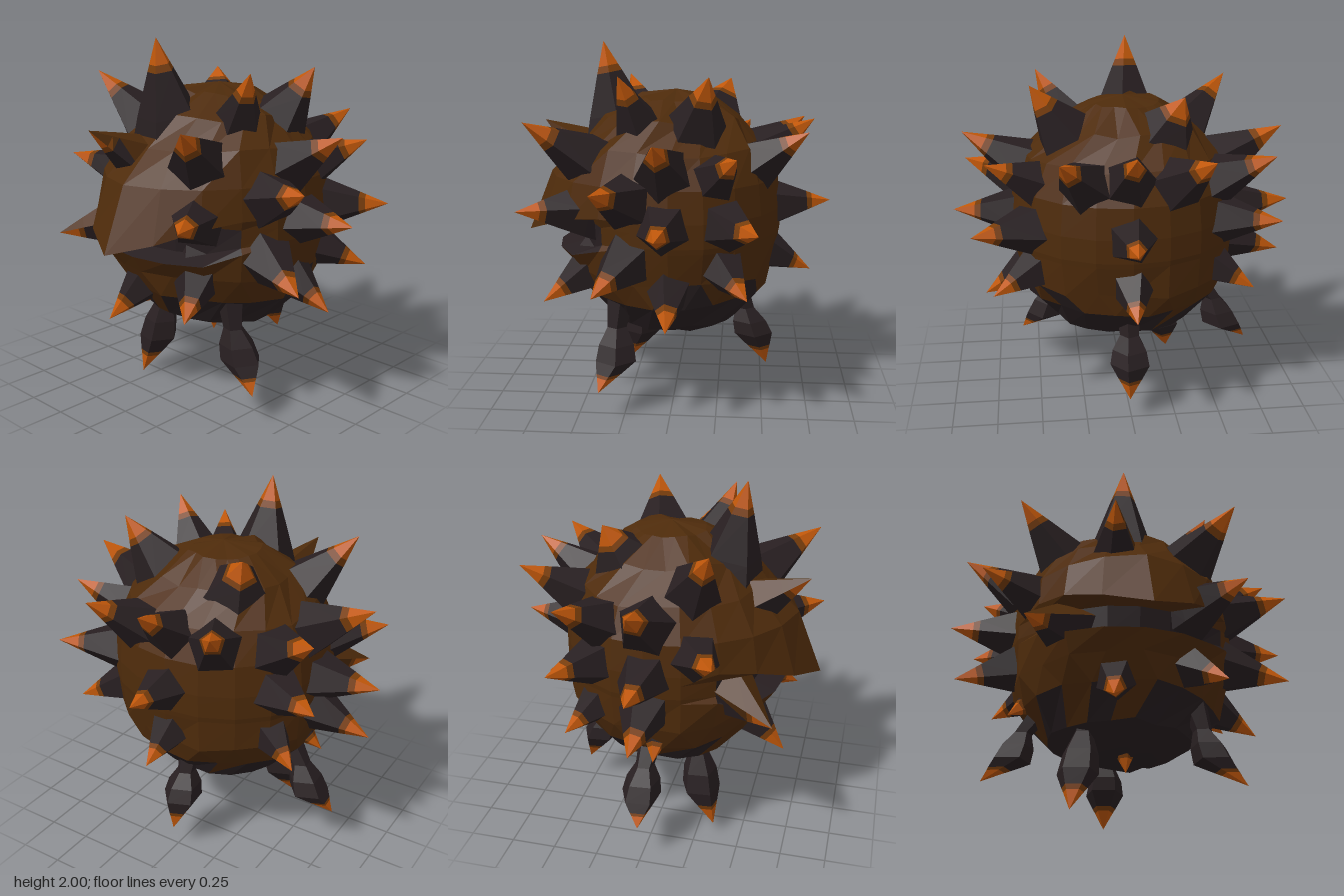
import * as THREE from 'three';

const mat = (name, color) => {
  const m = new THREE.MeshStandardMaterial({ color });
  m.name = name;
  return m;
};
const HIDE = 0, SHELL = 1, TIP = 2, BAND = 3;
const CENTER = [0, 1.05, 0];

// Small seeded random in -1..1
let seed = 7;
const rnd = () => {
  seed = (seed * 16807) % 2147483647;
  return (seed / 2147483647) * 2 - 1;
};

// Faceted skin over rings listed from bottom to top; pick(i, point) gives the material index
function loft(name, rings, pick, mats) {
  const buckets = mats.map(() => []);
  const n = rings[0].length;
  for (let i = 0; i < rings.length - 1; i++) {
    for (let j = 0; j < n; j++) {
      const k = (j + 1) % n;
      const a = rings[i][j], b = rings[i][k], c = rings[i + 1][k], d = rings[i + 1][j];
      for (const tri of [[a, b, c], [a, c, d]]) {
        const mid = new THREE.Vector3().add(tri[0]).add(tri[1]).add(tri[2]).divideScalar(3);
        const bucket = buckets[pick(i, mid)];
        tri.forEach((p) => bucket.push(p.x, p.y, p.z));
      }
    }
  }
  const g = new THREE.BufferGeometry();
  let start = 0;
  buckets.forEach((b, i) => {
    if (b.length) g.addGroup(start, b.length / 3, i);
    start += b.length / 3;
  });
  g.setAttribute('position', new THREE.Float32BufferAttribute(buckets.flat(), 3));
  g.computeVertexNormals();
  const mesh = new THREE.Mesh(g, mats);
  mesh.name = name;
  return mesh;
}

// Round body with a mouth cut in the front and a beak-like upper lip
function makeBody(mats) {
  const N = 20;
  // [height, radius, mouth role]
  const profile = [
    [0.38, 0.0], [0.385, 0.2], [0.47, 0.4], [0.63, 0.545], [0.76, 0.605],
    [0.87, 0.63, 'lowerLip'], [0.9, 0.635, 'floor'], [1.05, 0.635, 'roof'],
    [1.10, 0.635, 'beak'], [1.27, 0.615, 'snout'], [1.44, 0.535], [1.59, 0.39],
    [1.70, 0.2], [1.74, 0.0],
  ];
  const rings = profile.map(([y, r, role], i) => {
    const ring = [];
    for (let j = 0; j < N; j++) {
      const t = ((j + (role ? 0 : (i % 2) * 0.5)) / N) * Math.PI * 2;
      const off = Math.min(t, Math.PI * 2 - t);
      const mouth = THREE.MathUtils.smoothstep(1.05 - off, 0, 0.35);
      const beak = Math.max(0, 1 - off / 0.75);
      let rr = r, yy = y;
      if (role === 'lowerLip') { rr += 0.04 * mouth; yy += 0.07 * (1 - mouth); }
      if (role === 'floor') { rr -= 0.1 * mouth; yy += 0.07 * (1 - mouth); }
      if (role === 'roof') rr -= 0.08 * mouth;
      if (role === 'beak') { rr += 0.025 * mouth + 0.2 * beak; yy -= 0.18 * beak; }
      if (role === 'snout') rr += 0.025 * mouth + 0.08 * beak;
      if (!role && r > 0) { rr += 0.02 * rnd(); yy += 0.015 * rnd(); }
      const z = Math.cos(t) * rr;
      ring.push(new THREE.Vector3(Math.sin(t) * rr, yy, z < 0 ? z * 0.93 : z));
    }
    return ring;
  });
  const pick = (i, p) => {
    const inMouth = (i === 5 || i === 6) && Math.abs(Math.atan2(p.x, p.z)) < 0.95;
    // Dark underside, reaching higher on one flank
    const edge = 0.57 - p.z * 0.1 + 0.25 * Math.max(0, p.x) + 0.07 * Math.sin(p.x * 17 + p.z * 11);
    return inMouth || p.y < edge ? SHELL : HIDE;
  };
  return loft('body', rings, pick, mats);
}

// Five-sided spike growing from its root to its tip; brownTop colours its upper side like the hide
function makeSpike([x, y, z, { root = CENTER, wide = 1, brownTop = false } = {}], mats) {
  const origin = new THREE.Vector3(...root);
  const dir = new THREE.Vector3(x, y, z).sub(origin);
  const base = 0.44, len = dir.length() - base;
  const width = 0.205 * wide * Math.min(1.15, 0.35 + (0.65 * len) / 0.52);
  const twist = rnd() * 3;
  const turn = new THREE.Quaternion().setFromUnitVectors(new THREE.Vector3(0, 1, 0), dir.normalize());
  const up = new THREE.Vector3(0, 1, 0).applyQuaternion(turn.clone().invert());
  const rings = [[0, 1], [0.3, 0.73], [0.7, 0.32], [0.765, 0.25], [1, 0]].map(([f, w]) => {
    const ring = [];
    for (let j = 0; j < 5; j++) {
      const t = (j / 5) * Math.PI * 2 + twist;
      ring.push(new THREE.Vector3(Math.sin(t) * width * w, base + len * f, Math.cos(t) * width * w));
    }
    return ring;
  });
  const pick = (i, p) =>
    brownTop && p.x * up.x + p.z * up.z > 0 ? HIDE : [SHELL, SHELL, BAND, TIP][i];
  const spike = loft('spike', rings, pick, mats);
  spike.position.copy(origin);
  spike.quaternion.copy(turn);
  return spike;
}

// Thin leg with a swollen foot ending in a pointed claw
function makeLeg({ hip, ankle, foot, tip }, mats) {
  const V = (p) => new THREE.Vector3(...p);
  const claw = (f) => V(tip).lerp(V(foot), f);
  const stops = [
    [V(tip), 0], [claw(0.48), 0.055], [claw(0.6), 0.07], [V(foot), 0.115],
    [V(foot).lerp(V(ankle), 0.5), 0.1], [V(ankle), 0.055], [V(hip), 0.08],
  ];
  const rings = stops.map(([c, r]) => {
    const ring = [];
    for (let j = 0; j < 5; j++) {
      const t = (j / 5) * Math.PI * 2 + 0.4;
      ring.push(new THREE.Vector3(c.x + Math.sin(t) * r, c.y, c.z + Math.cos(t) * r));
    }
    return ring;
  });
  return loft('leg', rings, (i) => [TIP, BAND, SHELL, SHELL, SHELL, SHELL][i], mats);
}

// Spike tips, from crown to underside
const SPIKES = [
  [-0.06, 2.0, 0.42, { root: [-0.05, 0.99, 0.22], wide: 1.05 }],
  [-0.64, 1.78, 0.34], [0.47, 1.84, 0.27], [0.51, 1.84, -0.2, { wide: 1.2 }], [-0.3, 1.78, -0.3, { wide: 1.7 }],
  [0.89, 1.54, 0.05], [-0.91, 1.54, 0.0], [0.48, 1.6, 0.77], [-0.18, 1.54, 0.79, { brownTop: true }],
  [0.01, 1.58, -0.77], [-0.39, 1.55, -0.74], [0.38, 1.55, -0.72], [0.76, 1.46, -0.35], [-0.78, 1.48, -0.42],
  [0.9, 1.3, 0.36], [-0.83, 1.28, 0.4], [0.96, 1.09, 0.04], [-0.97, 1.1, 0.0],
  [0.84, 1.1, -0.46], [-0.82, 1.13, -0.46], [0.01, 1.12, -0.87], [0.51, 1.13, 0.82],
  [-0.62, 0.88, 0.68, { brownTop: true }], [0.88, 0.78, 0.36], [-0.93, 0.79, 0.0],
  [0.74, 0.74, -0.41], [-0.69, 0.73, -0.42], [0.0, 0.71, -0.77],
  [0.8, 0.58, 0.0], [-0.63, 0.58, 0.05], [0.42, 0.61, 0.7], [-0.17, 0.48, 0.7], [0.02, 0.29, 0.07],
];

const LEGS = [
  { hip: [0.35, 0.64, 0.28], ankle: [0.39, 0.47, 0.3], foot: [0.45, 0.3, 0.3], tip: [0.6, 0.16, 0.38] },
  { hip: [-0.2, 0.62, 0.2], ankle: [-0.24, 0.44, 0.22], foot: [-0.27, 0.22, 0.24], tip: [-0.32, 0.0, 0.33] },
  { hip: [-0.42, 0.66, 0.0], ankle: [-0.54, 0.5, -0.02], foot: [-0.6, 0.34, -0.03], tip: [-0.75, 0.22, -0.01] },
  { hip: [0.0, 0.64, -0.33], ankle: [0.0, 0.47, -0.4], foot: [0.0, 0.32, -0.45], tip: [0.01, 0.13, -0.53] },
];

export function createModel() {
  const mats = [
    mat('brown hide', 0x4e2b0b),
    mat('dark shell', 0x281f21),
    mat('orange tip', 0xc0570a),
    mat('burnt orange band', 0x783d0b),
  ];
  const model = new THREE.Group();
  model.name = 'spikyCreature';
  model.add(makeBody(mats));

  const spikes = new THREE.Group();
  spikes.name = 'spikes';
  SPIKES.forEach((s) => spikes.add(makeSpike(s, mats)));

  const legs = new THREE.Group();
  legs.name = 'legs';
  LEGS.forEach((l) => legs.add(makeLeg(l, mats)));

  model.add(spikes, legs);
  return model;
}
